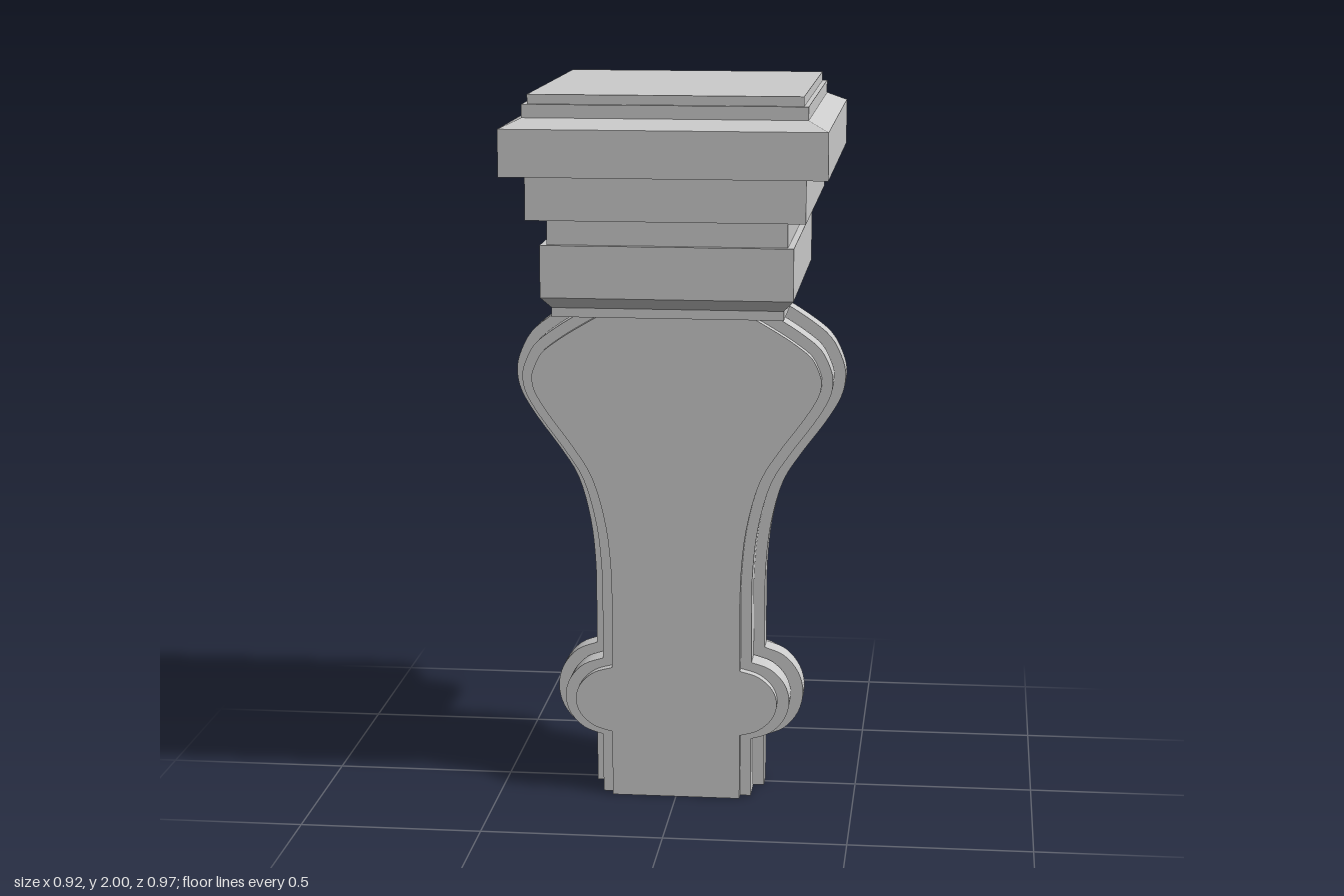
import * as THREE from 'three';
import { toCreasedNormals } from 'three/addons/utils/BufferGeometryUtils.js';

const V2 = (x, y) => new THREE.Vector2(x, y);

// Half outline of the bracket from top to bottom, inset along its normal
function halfProfile(inset) {
  const upper = new THREE.SplineCurve([
    [0.20, 1.45], [0.28, 1.405], [0.36, 1.355], [0.42, 1.305], [0.453, 1.24], [0.46, 1.19],
    [0.447, 1.135], [0.405, 1.065], [0.335, 0.97], [0.287, 0.89], [0.255, 0.77], [0.242, 0.65],
    [0.24, 0.55], [0.24, 0.42],
  ].map(p => V2(...p)));
  const pts = [];
  const n = 48;
  for (let i = 0; i <= n; i++) {
    const t = upper.getTangent(i / n);
    pts.push(upper.getPoint(i / n).add(V2(t.y, -t.x).multiplyScalar(inset)));
  }
  // small scroll near the foot
  const x = 0.24 - inset, h = 0.13 - inset * 0.6, d = 0.11 - inset * 0.1;
  const scroll = new THREE.SplineCurve(
    [[0, 1], [0.5, 0.83], [0.87, 0.46], [1, 0], [0.87, -0.46], [0.5, -0.83], [0, -1]]
      .map(([u, v]) => V2(x + u * d, 0.28 + v * h)));
  pts.push(...scroll.getPoints(24), V2(x, 0));
  return pts;
}

// Grooved side wall: the three outlines joined step by step from front to back
function sideWall(sections, side) {
  const pos = [], index = [], n = sections[0][0].length;
  for (const [profile, z] of sections) for (const p of profile) pos.push(side * p.x, p.y, z);
  for (let i = 0; i < sections.length - 1; i++) {
    for (let j = 0; j < n - 1; j++) {
      const a = i * n + j, b = a + 1, c = a + n, d = c + 1;
      if (side > 0) index.push(a, b, c, b, d, c);
      else index.push(a, c, b, b, c, d);
    }
  }
  const g = new THREE.BufferGeometry();
  g.setAttribute('position', new THREE.Float32BufferAttribute(pos, 3));
  g.setIndex(index);
  return toCreasedNormals(g, 0.6);
}

// Rectangular moulding: rings of [half width, half depth, y] from bottom to top
function moulding(rings) {
  const pos = [], index = [];
  for (const [x, z, y] of rings) pos.push(x, y, z, x, y, -z, -x, y, -z, -x, y, z);
  for (let i = 0; i < rings.length - 1; i++) {
    for (let k = 0; k < 4; k++) {
      const a = i * 4 + k, b = i * 4 + (k + 1) % 4;
      index.push(a, b, a + 4, b, b + 4, a + 4);
    }
  }
  const g = new THREE.BufferGeometry();
  g.setAttribute('position', new THREE.Float32BufferAttribute(pos, 3));
  g.setIndex(index);
  const flat = g.toNonIndexed();
  flat.computeVertexNormals();
  return flat;
}

export function createModel() {
  const group = new THREE.Group();
  const material = new THREE.MeshStandardMaterial({ color: 0xcccccc });
  const shell = new THREE.MeshStandardMaterial({ color: 0xcccccc, side: THREE.DoubleSide });
  const add = (name, geometry, mat) => {
    const mesh = new THREE.Mesh(geometry, mat);
    mesh.name = name;
    group.add(mesh);
    return mesh;
  };

  // bracket sides, with a raised centre rib and two lower bands
  const inner = halfProfile(0.06), middle = halfProfile(0.03), outer = halfProfile(0);
  const half = [[inner, 0.16], [inner, 0.13], [middle, 0.13], [middle, 0.05],
    [inner, 0.05], [inner, 0.035], [outer, 0.035]];
  const sections = [...half, ...half.map(([p, z]) => [p, -z]).reverse()];
  add('leftBracketSide', sideWall(sections, 1), shell);
  add('rightBracketSide', sideWall(sections, -1), shell);

  // flat front and back of the bracket (the foot stays open)
  const outline = [...inner, ...inner.map(p => V2(-p.x, p.y)).reverse()];
  const face = new THREE.ShapeGeometry(new THREE.Shape(outline));
  add('bracketFront', face, shell).position.z = 0.16;
  const back = add('bracketBack', face, shell);
  back.position.z = -0.16;
  back.rotation.y = Math.PI;

  // stepped capital
  const steps = [
    [0.31, 1.405], [0.31, 1.43], [0.337, 1.46], [0.337, 1.6], [0.32, 1.6], [0.32, 1.67],
    [0.37, 1.67], [0.37, 1.79], [0.43, 1.79], [0.43, 1.915], [0.375, 1.94], [0.375, 1.975],
    [0.362, 1.975], [0.362, 2],
  ].map(([x, y]) => [x, x + 0.056, y]);
  add('capital', moulding([[0, 0, 1.405], ...steps, [0, 0, 2]]), material);

  return group;
}
